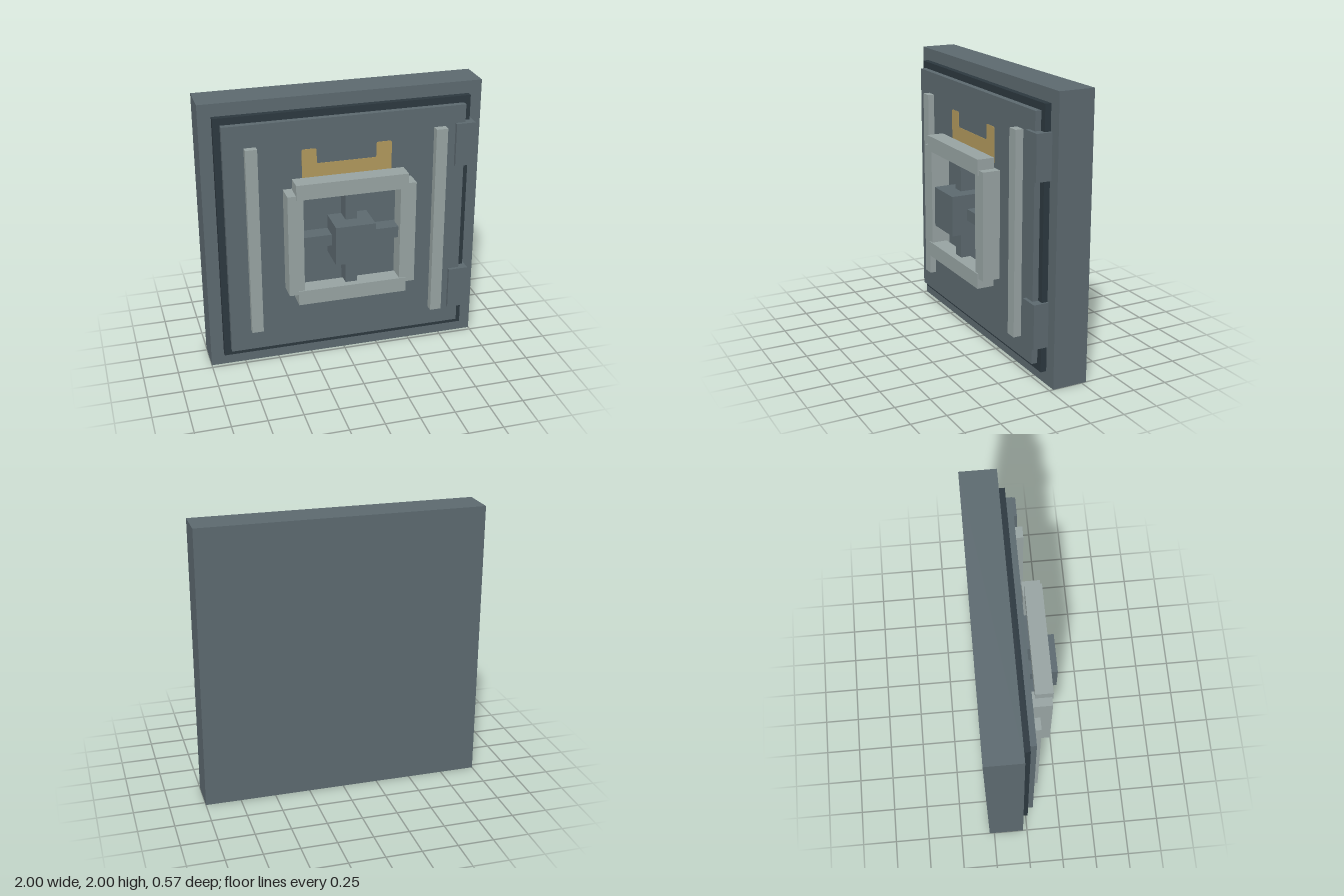
import * as THREE from 'three';

const paint = (name, color) => {
  const m = new THREE.MeshStandardMaterial({ color });
  m.name = name;
  return m;
};

export function createModel() {
  const steel = paint('slate steel', 0x5c696f);
  const rubber = paint('dark seal', 0x2c383f);
  const metal = paint('pale metal', 0x97a3a2);
  const brass = paint('brass', 0xb0985c);

  const model = new THREE.Group();
  model.name = 'vaultDoor';

  // Box given by its limits on each axis
  const box = (name, mat, [x0, x1], [y0, y1], [z0, z1], parent = model) => {
    const mesh = new THREE.Mesh(new THREE.BoxGeometry(x1 - x0, y1 - y0, z1 - z0), mat);
    mesh.position.set((x0 + x1) / 2, (y0 + y1) / 2, (z0 + z1) / 2);
    mesh.name = name;
    parent.add(mesh);
  };

  // Wall slab, seal and door panel
  box('wallSlab', steel, [-1, 1], [0, 2], [-0.285, -0.03]);
  box('doorSeal', rubber, [-0.908, 0.905], [0.095, 1.91], [-0.04, 0.013]);
  box('doorPanel', steel, [-0.86, 0.858], [0.145, 1.86], [0, 0.056]);

  // Hinges on the left edge
  box('upperHinge', steel, [0.785, 0.925], [1.415, 1.73], [-0.03, 0.083]);
  box('lowerHinge', steel, [0.775, 0.92], [0.275, 0.59], [-0.03, 0.08]);

  // Upright ribs
  box('rightRib', metal, [-0.715, -0.632], [0.305, 1.7], [0.05, 0.103]);
  box('leftRib', metal, [0.627, 0.71], [0.29, 1.715], [0.05, 0.112]);

  // Square handwheel: four rim bars, crossed spokes and a hub
  const wheel = new THREE.Group();
  wheel.name = 'handwheel';
  model.add(wheel);
  box('rimTop', metal, [-0.4, 0.395], [1.35, 1.46], [0.097, 0.22], wheel);
  box('rimBottom', metal, [-0.395, 0.39], [0.547, 0.655], [0.097, 0.22], wheel);
  box('rimRight', metal, [-0.46, -0.35], [0.625, 1.38], [0.074, 0.212], wheel);
  box('rimLeft', metal, [0.342, 0.455], [0.62, 1.385], [0.084, 0.212], wheel);
  box('spokeAcross', steel, [-0.372, 0.37], [0.96, 1.043], [0.05, 0.172], wheel);
  box('spokeUpright', steel, [-0.043, 0.04], [0.635, 1.375], [0.05, 0.17], wheel);
  box('hub', steel, [-0.143, 0.14], [0.86, 1.145], [0.05, 0.285], wheel);

  // Brass plate with two raised, round-cornered ends
  const s = new THREE.Shape();
  const r = 0.015, top = 1.65, notch = 1.54;
  s.moveTo(-0.32, 1.4);
  s.lineTo(0.32, 1.4);
  s.lineTo(0.32, top - r);
  s.quadraticCurveTo(0.32, top, 0.32 - r, top);
  s.lineTo(0.21 + r, top);
  s.quadraticCurveTo(0.21, top, 0.21, top - r);
  s.lineTo(0.21, notch + r);
  s.quadraticCurveTo(0.21, notch, 0.21 - r, notch);
  s.lineTo(-0.215 + r, notch);
  s.quadraticCurveTo(-0.215, notch, -0.215, notch + r);
  s.lineTo(-0.215, top - r);
  s.quadraticCurveTo(-0.215, top, -0.215 - r, top);
  s.lineTo(-0.32 + r, top);
  s.quadraticCurveTo(-0.32, top, -0.32, top - r);
  const plate = new THREE.Mesh(
    new THREE.ExtrudeGeometry(s, { depth: 0.004, bevelEnabled: false, curveSegments: 4 }), brass);
  plate.position.z = 0.055;
  plate.name = 'brassPlate';
  model.add(plate);

  return model;
}
